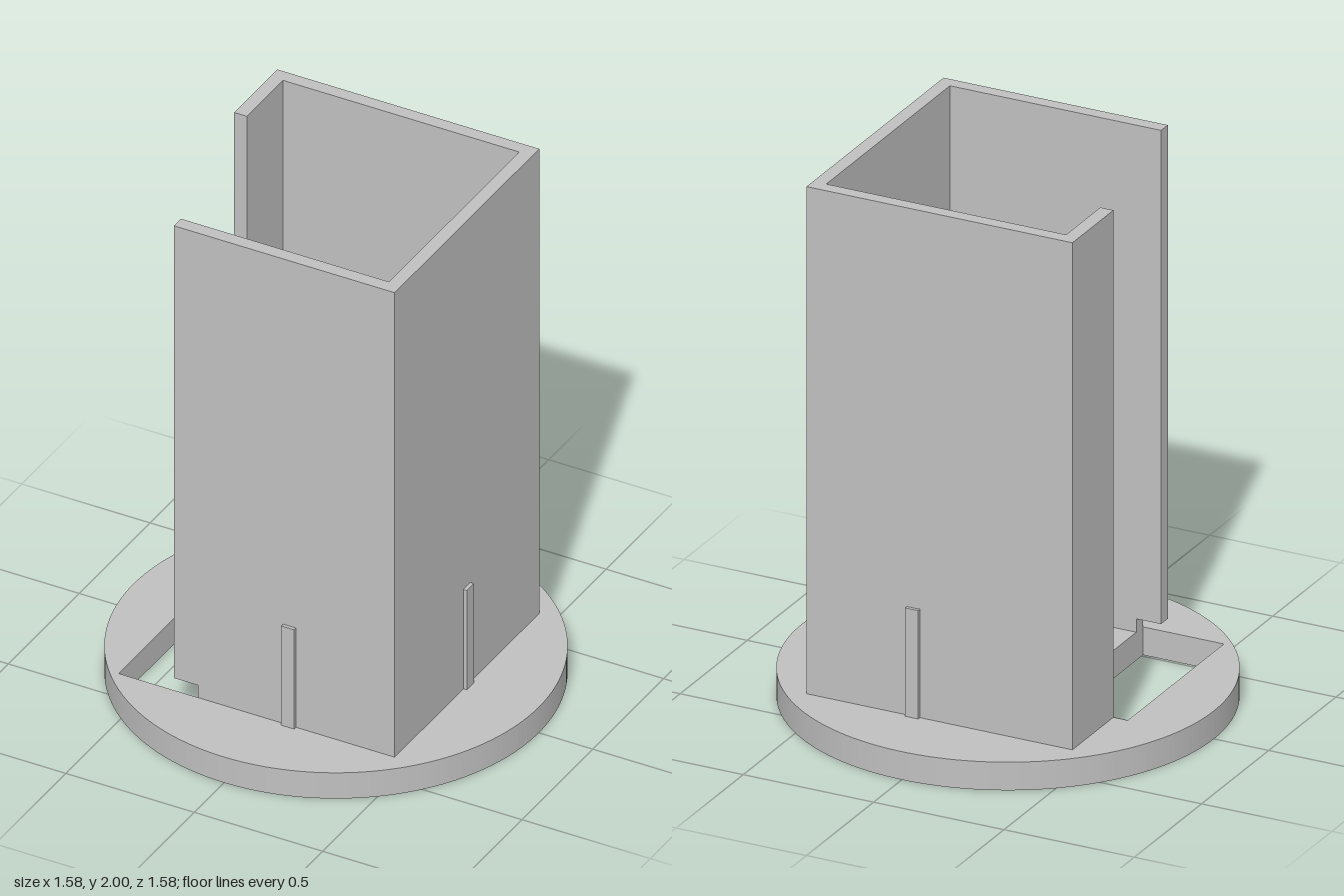
import * as THREE from 'three';

const grey = new THREE.MeshStandardMaterial({ color: 0xc0c0c0 });
grey.name = 'plain grey';

const BASE = 0.105, TOP = 2, OUT = 0.51, IN = 0.46;

// Box given by its two opposite corners
function block(name, [x0, y0, z0], [x1, y1, z1]) {
  const mesh = new THREE.Mesh(new THREE.BoxGeometry(x1 - x0, y1 - y0, z1 - z0), grey);
  mesh.position.set((x0 + x1) / 2, (y0 + y1) / 2, (z0 + z1) / 2);
  mesh.name = name;
  return mesh;
}

function polygon(points, Type = THREE.Shape) {
  return new Type(points.map(([x, y]) => new THREE.Vector2(x, y)));
}

export function createModel() {
  const model = new THREE.Group();
  model.name = 'slottedTower';

  // Round base with a rectangular through-slot (shape y becomes -z)
  const disc = new THREE.Shape().absarc(0, 0, 0.79, 0, Math.PI * 2, false);
  disc.holes.push(polygon([[-0.565, 0.205], [-0.255, 0.205], [-0.255, -0.51], [-0.565, -0.51]], THREE.Path));
  const baseGeometry = new THREE.ExtrudeGeometry(disc, { depth: BASE, bevelEnabled: false, curveSegments: 96 });
  baseGeometry.rotateX(-Math.PI / 2);
  const base = new THREE.Mesh(baseGeometry, grey);
  base.name = 'base';
  model.add(base);

  // Back, left and partial right walls
  model.add(
    block('backWall', [-OUT, BASE, -OUT], [OUT, TOP, -IN]),
    block('leftWall', [IN, BASE, -IN], [OUT, TOP, IN]),
    block('rightWall', [-OUT, BASE, -IN], [-IN, TOP, -0.205]),
  );

  // Front wall, notched at its foot above the base slot
  const front = polygon([[-0.255, BASE], [OUT, BASE], [OUT, TOP], [-0.35, TOP], [-0.35, 0.155], [-0.255, 0.155]]);
  const frontWall = new THREE.Mesh(new THREE.ExtrudeGeometry(front, { depth: OUT - IN, bevelEnabled: false }), grey);
  frontWall.position.z = IN;
  frontWall.name = 'frontWall';
  model.add(frontWall);

  // Thin ribs at the foot of three walls
  const ribTop = 0.51, ribOut = 0.523;
  model.add(
    block('frontRib', [0.075, BASE, OUT], [0.125, ribTop, ribOut]),
    block('backRib', [0.075, BASE, -ribOut], [0.125, ribTop, -OUT]),
    block('leftRib', [OUT, BASE, -0.025], [ribOut, ribTop, 0.025]),
  );
  return model;
}
